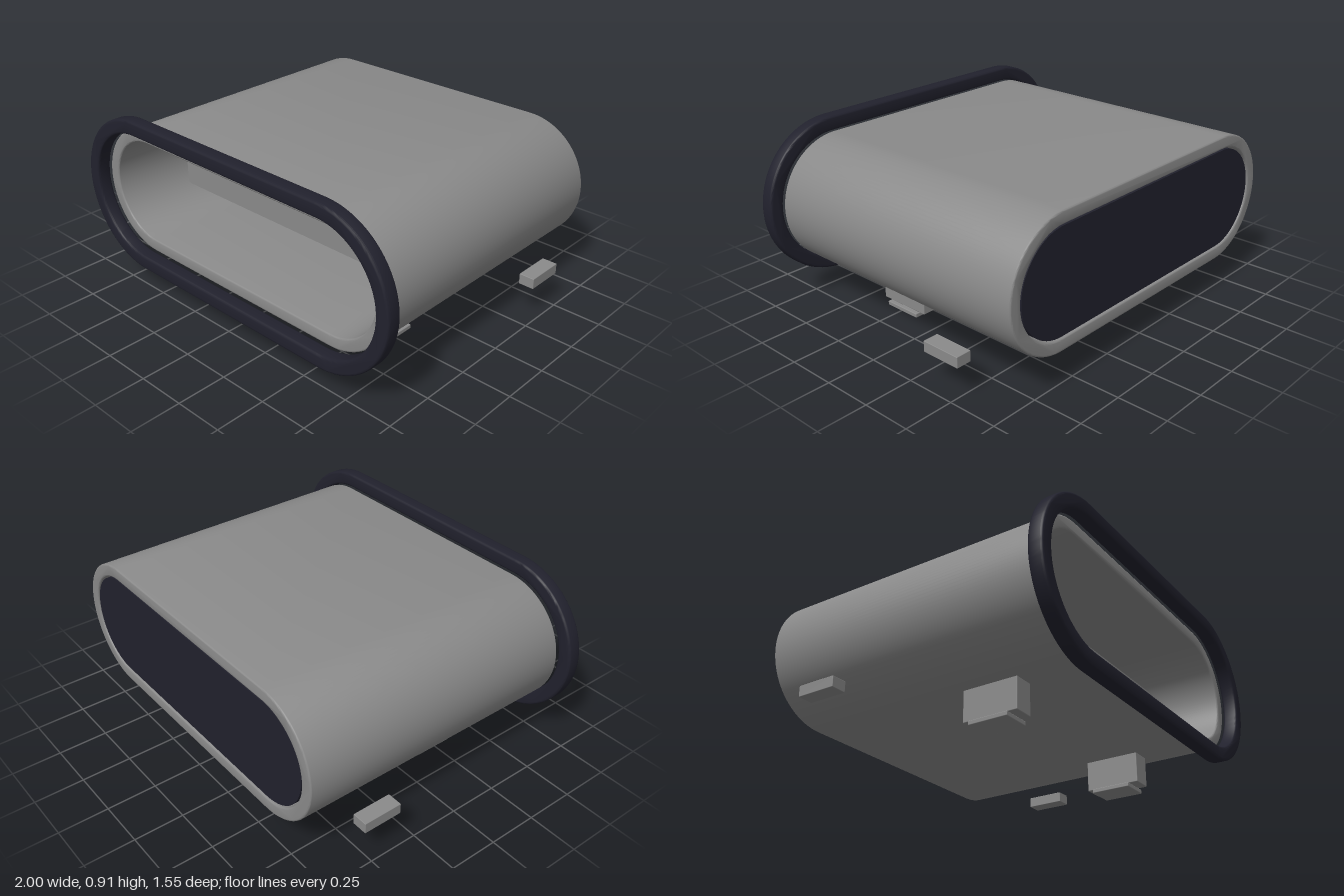
import * as THREE from 'three';
import { toCreasedNormals } from 'three/addons/utils/BufferGeometryUtils.js';
import { RoundedBoxGeometry } from 'three/addons/geometries/RoundedBoxGeometry.js';

const CENTRE_Y = 0.507;   // height of the port axis
const HALF_STRAIGHT = 0.6; // half length of the flat part of each stadium

const metal = new THREE.MeshStandardMaterial({ color: 0x8a8a8a });
metal.name = 'grey metal';
const plastic = new THREE.MeshStandardMaterial({ color: 0x21212d });
plastic.name = 'dark plastic';
const gold = new THREE.MeshStandardMaterial({ color: 0xcaa23c });
gold.name = 'gold contact';

// Closed stadium outline of end radius r
function stadium(r, PathType = THREE.Shape) {
  const p = new PathType();
  p.absarc(HALF_STRAIGHT, 0, r, -Math.PI / 2, Math.PI / 2, false);
  p.absarc(-HALF_STRAIGHT, 0, r, Math.PI / 2, Math.PI * 1.5, false);
  p.closePath();
  return p;
}

// Bevelled stadium slab or ring between two z values; radii are the finished ones
function stadiumMesh(name, outer, inner, back, front, bevel, material) {
  const shape = stadium(outer - bevel);
  if (inner) shape.holes.push(stadium(inner + bevel, THREE.Path));
  const geo = new THREE.ExtrudeGeometry(shape, {
    depth: front - back - 2 * bevel,
    curveSegments: 28,
    bevelEnabled: bevel > 0,
    bevelSize: bevel,
    bevelThickness: bevel,
    bevelSegments: 3,
  });
  geo.translate(0, CENTRE_Y, back + bevel);
  const mesh = new THREE.Mesh(toCreasedNormals(geo, 0.6), material);
  mesh.name = name;
  return mesh;
}

// Box given by its min and max corners, optionally with rounded edges
function block(name, [x0, y0, z0], [x1, y1, z1], material, radius = 0) {
  const w = x1 - x0, h = y1 - y0, d = z1 - z0;
  const geo = radius
    ? new RoundedBoxGeometry(w, h, d, 2, radius)
    : new THREE.BoxGeometry(w, h, d);
  const mesh = new THREE.Mesh(geo, material);
  mesh.position.set((x0 + x1) / 2, (y0 + y1) / 2, (z0 + z1) / 2);
  mesh.name = name;
  return mesh;
}

export function createModel() {
  const model = new THREE.Group();
  model.name = 'connectorPort';

  // Tubular housing, front collar and rear closing plate
  model.add(
    stadiumMesh('shell', 0.327, 0.264, -0.775, 0.697, 0.008, metal),
    stadiumMesh('frontCollar', 0.4, 0.327, 0.702, 0.775, 0.012, plastic),
    stadiumMesh('backPlate', 0.256, 0, -0.77, -0.7, 0, plastic),
  );

  // Tongue with rounded corners in the front outline
  const hw = 0.68, hh = 0.07, r = 0.02;
  const outline = new THREE.Shape();
  outline.absarc(hw - r, hh - r, r, 0, Math.PI / 2);
  outline.absarc(-hw + r, hh - r, r, Math.PI / 2, Math.PI);
  outline.absarc(-hw + r, -hh + r, r, Math.PI, Math.PI * 1.5);
  outline.absarc(hw - r, -hh + r, r, Math.PI * 1.5, Math.PI * 2);
  const tongueGeo = new THREE.ExtrudeGeometry(outline, { depth: 1.1, bevelEnabled: false, curveSegments: 5 });
  const tongue = new THREE.Mesh(toCreasedNormals(tongueGeo, 0.6), metal);
  tongue.position.set(0, CENTRE_Y, -0.7);
  tongue.name = 'tongue';
  model.add(tongue);

  // Twelve contacts above and below the tongue
  const contacts = new THREE.Group();
  contacts.name = 'contacts';
  for (let i = 0; i < 12; i++) {
    const x = (i - 5.5) * 0.1055;
    for (const side of [1, -1]) {
      const y = CENTRE_Y + side * (hh + 0.004);
      contacts.add(block('contact', [x - 0.03, y - 0.005, -0.35], [x + 0.03, y + 0.005, 0.35], gold));
    }
  }
  model.add(contacts);

  // Small bent spring strip above the tongue
  const flat = block('springFlat', [-0.29, 0.622, -0.05], [-0.2, 0.634, 0.05], gold);
  const bent = block('springBent', [-0.21, 0.614, -0.04], [-0.14, 0.624, 0.04], gold);
  bent.rotation.z = -0.25;
  model.add(flat, bent);

  // Mounting legs with feet, and side tabs, mirrored left and right
  for (const side of [1, -1]) {
    const part = (name, x0, x1, y0, y1, z0, z1, radius) => {
      const xs = side > 0 ? [x0, x1] : [-x1, -x0];
      const label = (side > 0 ? 'left' : 'right') + name;
      model.add(block(label, [xs[0], y0, z0], [xs[1], y1, z1], metal, radius));
    };
    part('Leg', 0.49, 0.595, 0.025, 0.2, 0.1, 0.385, 0.004);
    part('Foot', 0.465, 0.612, 0, 0.022, 0.14, 0.345, 0.004);
    part('SideTab', 0.898, 0.978, 0.163, 0.218, -0.523, -0.32, 0.003);
  }
  return model;
}
